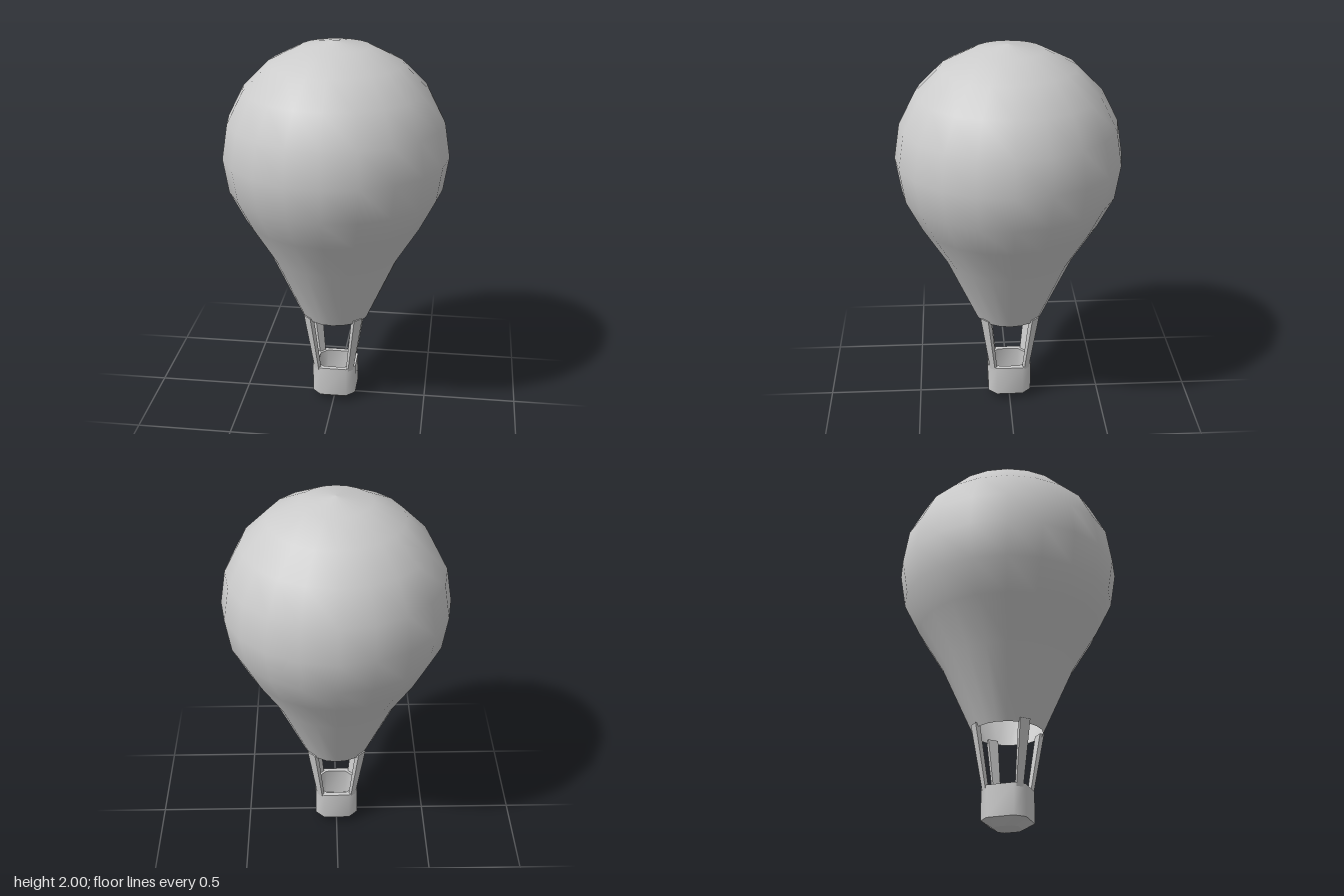
import * as THREE from 'three';

const material = new THREE.MeshStandardMaterial({ color: 0xcccccc });
const openMaterial = new THREE.MeshStandardMaterial({ color: 0xcccccc, side: THREE.DoubleSide });

function addMesh(parent, name, geometry, mat = material) {
  const mesh = new THREE.Mesh(geometry, mat);
  mesh.name = name;
  parent.add(mesh);
  return mesh;
}

// Envelope: spherical crown that runs into a tapering, open skirt
function envelopeGeometry() {
  const radius = 0.587, centre = 1.413;
  const profile = [[0.182, 0.5], [0.345, 0.86], [0.475, 1.07], [0.558, 1.233]]
    .map(([r, y]) => new THREE.Vector2(r, y));
  for (let i = 0; i <= 5; i++) {
    const a = (i * Math.PI) / 10;
    profile.push(new THREE.Vector2(i === 5 ? 0 : radius * Math.cos(a), centre + radius * Math.sin(a)));
  }
  return new THREE.LatheGeometry(profile, 20);
}

// Basket: square outline with cut corners, swept through [half width, y] rings.
// Each band has its own vertices, so it is smooth around and sharp between bands.
function basketGeometry() {
  const cut = 0.6;
  const outline = [[1, -cut], [1, cut], [cut, 1], [-cut, 1], [-1, cut], [-1, -cut], [-cut, -1], [cut, -1]];
  const rings = [
    [0, 0], [0.066, 0], [0.118, 0.035], [0.118, 0.2],
    [0.092, 0.2], [0.092, 0.04], [0, 0.04],
  ];
  const positions = [], index = [];
  for (let k = 0; k < rings.length - 1; k++) {
    const start = positions.length / 3;
    for (const [w, y] of [rings[k], rings[k + 1]]) {
      for (const [x, z] of outline) positions.push(x * w, y, z * w);
    }
    for (let i = 0; i < 8; i++) {
      const a = start + i, b = start + ((i + 1) % 8);
      index.push(a, a + 8, b, b, a + 8, b + 8);
    }
  }
  const geometry = new THREE.BufferGeometry();
  geometry.setAttribute('position', new THREE.Float32BufferAttribute(positions, 3));
  geometry.setIndex(index);
  geometry.computeVertexNormals();
  return geometry;
}

// Post: flat board, widening and leaning outward (+z) towards the top
function postGeometry() {
  const geometry = new THREE.BoxGeometry(1, 1, 1);
  const p = geometry.attributes.position;
  for (let i = 0; i < p.count; i++) {
    const t = p.getY(i) + 0.5;
    const width = THREE.MathUtils.lerp(0.038, 0.056, t);
    const depth = THREE.MathUtils.lerp(0.018, 0.024, t);
    const lean = THREE.MathUtils.lerp(0.124, 0.184, t);
    p.setXYZ(i, p.getX(i) * width, THREE.MathUtils.lerp(0.18, 0.52, t), p.getZ(i) * depth + lean);
  }
  geometry.computeVertexNormals();
  return geometry;
}

export function createModel() {
  const model = new THREE.Group();
  model.name = 'hotAirBalloon';

  addMesh(model, 'envelope', envelopeGeometry(), openMaterial);
  addMesh(model, 'basket', basketGeometry());

  // Four posts, one over each cut corner of the basket
  const post = postGeometry();
  const names = ['frontLeftPost', 'backLeftPost', 'backRightPost', 'frontRightPost'];
  names.forEach((name, i) => {
    addMesh(model, name, post).rotation.y = Math.PI / 4 + (i * Math.PI) / 2;
  });

  return model;
}
